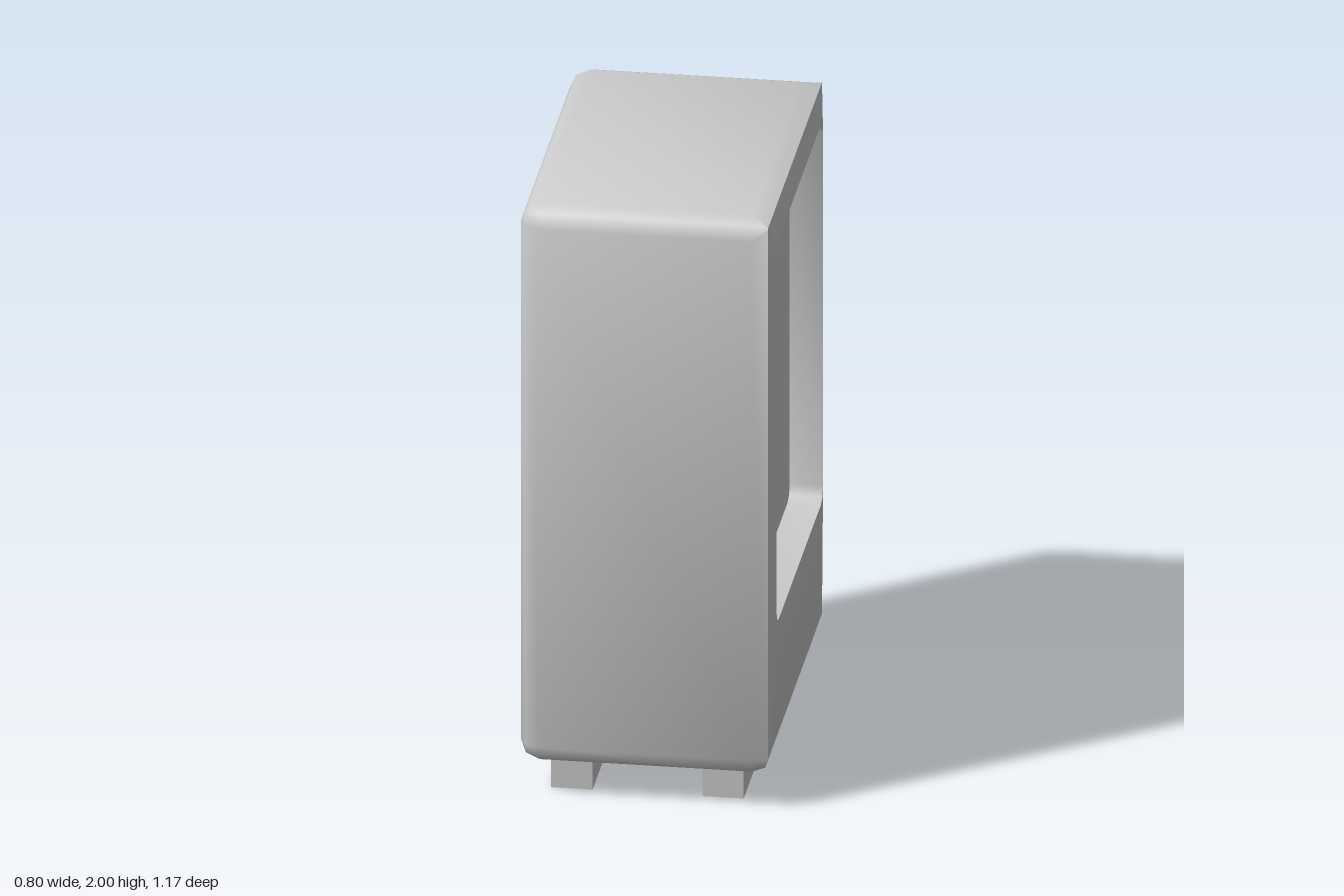
import * as THREE from 'three';
import { toCreasedNormals } from 'three/addons/utils/BufferGeometryUtils.js';

const material = new THREE.MeshStandardMaterial({ color: 0xcccccc, side: THREE.DoubleSide });

// Rounded rectangle in the yz plane, two segments per corner, counterclockwise seen from +x.
// x may be a number or a function of y.
function ring(x, halfZ, y0, y1, rTop, rBottom = rTop) {
  const corners = [[1, 1, 0], [-1, 1, 1], [-1, -1, 2], [1, -1, 3]]; // [y sign, z sign, quarter]
  const points = [];
  for (const [sy, sz, quarter] of corners) {
    const r = sy > 0 ? rTop : rBottom;
    for (let k = 0; k < 3; k++) {
      const t = (quarter + k / 2) * Math.PI / 2;
      const y = (sy > 0 ? y1 - r : y0 + r) + r * Math.cos(t);
      const z = sz * (halfZ - r) + r * Math.sin(t);
      points.push(new THREE.Vector3(typeof x === 'function' ? x(y) : x, y, z));
    }
  }
  return points;
}

// Skin successive rings and close both ends.
function loft(rings, creaseAngle) {
  const positions = [];
  const triangle = (a, b, c) => {
    const area = b.clone().sub(a).cross(c.clone().sub(a)).length();
    if (area > 1e-7) for (const p of [a, b, c]) positions.push(p.x, p.y, p.z);
  };
  const n = rings[0].length;
  for (let i = 0; i < rings.length - 1; i++) {
    const a = rings[i], b = rings[i + 1];
    for (let j = 0; j < n; j++) {
      const k = (j + 1) % n;
      triangle(a[j], a[k], b[k]);
      triangle(a[j], b[k], b[j]);
    }
  }
  const first = rings[0], last = rings[rings.length - 1];
  for (let j = 1; j < n - 1; j++) {
    triangle(first[0], first[j + 1], first[j]);
    triangle(last[0], last[j], last[j + 1]);
  }
  const geometry = new THREE.BufferGeometry();
  geometry.setAttribute('position', new THREE.Float32BufferAttribute(positions, 3));
  return toCreasedNormals(geometry, creaseAngle);
}

export function createModel() {
  const model = new THREE.Group();
  model.name = 'cabinet';

  // Bevelled cabinet whose +x side swells to a rim around a sunken panel
  const shell = (x, inset) =>
    ring(x, 0.585 - inset, 0.11 + inset, 2 - inset, 0.065 - inset);
  const body = new THREE.Mesh(loft([
    shell(-0.4, 0.065),
    shell(-0.38, 0.02),
    shell(-0.335, 0),
    shell(0.33, 0),
    ring((y) => (y < 0.16 ? 0.37 : 0.385), 0.575, 0.13, 1.98, 0.005, 0.045), // side edge
    ring(0.385, 0.575, 0.18, 1.98, 0.005),                                   // panel foot
    ring(0.4, 0.495, 0.6, 1.89, 0.045),                                      // recess rim
    ring(0.295, 0.495, 0.6, 1.89, 0.045),                                    // recess floor
  ], 0.9), material);
  body.name = 'body';
  model.add(body);

  // Four hollow feet, open at the bottom
  const outline = new THREE.CylinderGeometry(Math.SQRT1_2, Math.SQRT1_2, 1, 4, 1, true)
    .rotateY(Math.PI / 4).scale(0.13, 0.12, 0.215);
  const footGeometry = toCreasedNormals(outline, 0.5);
  for (const x of [-0.245, 0.23]) {
    for (const z of [-0.373, 0.377]) {
      const foot = new THREE.Mesh(footGeometry, material);
      foot.name = 'foot';
      foot.position.set(x, 0.06, z);
      model.add(foot);
    }
  }
  return model;
}
